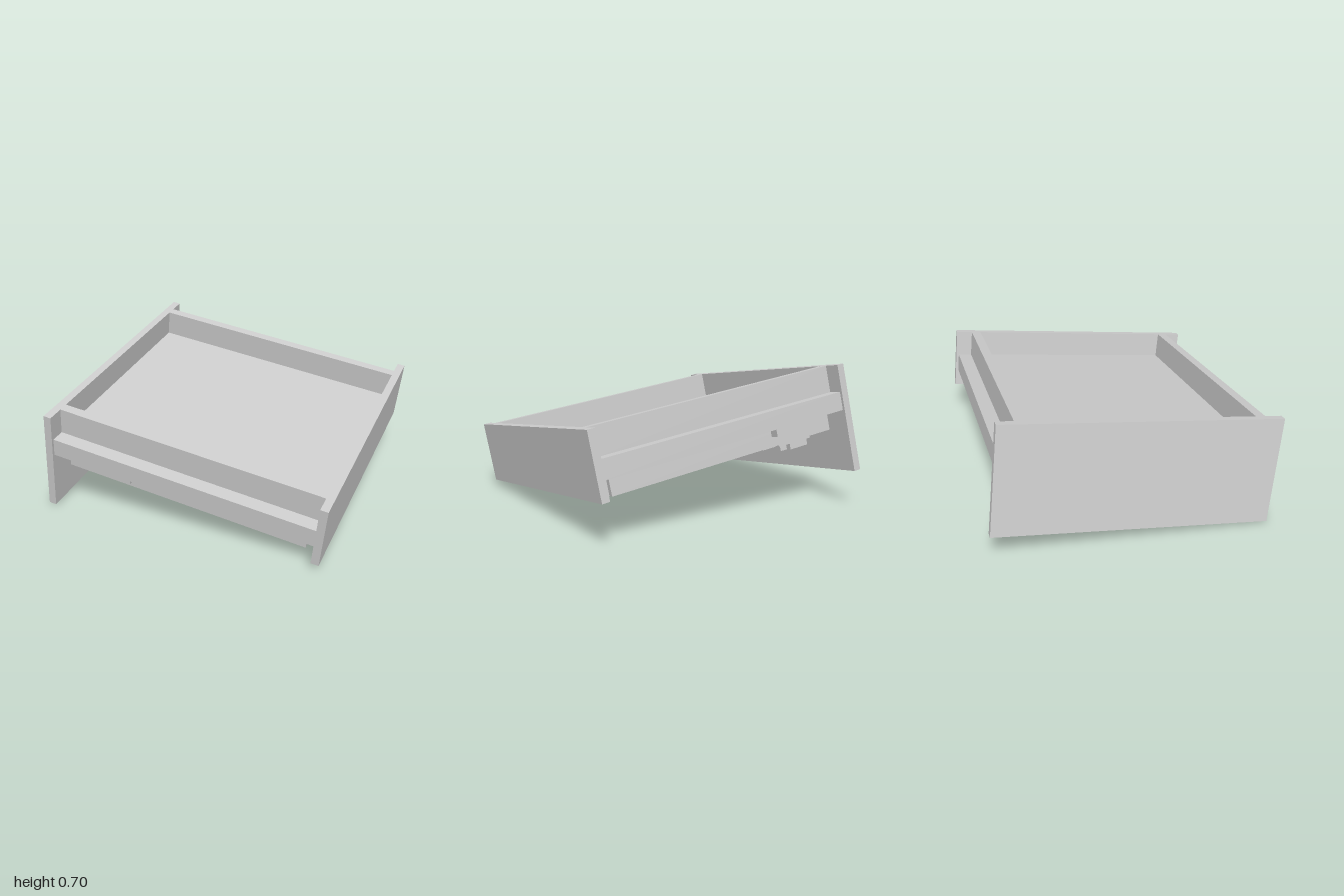
import * as THREE from 'three';

const material = new THREE.MeshStandardMaterial({ color: 0xcccccc, flatShading: true });

// Box given by its limits along each local axis
function box(parent, name, [x0, x1], [y0, y1], [z0, z1]) {
  const mesh = new THREE.Mesh(new THREE.BoxGeometry(x1 - x0, y1 - y0, z1 - z0), material);
  mesh.position.set((x0 + x1) / 2, (y0 + y1) / 2, (z0 + z1) / 2);
  mesh.name = name;
  parent.add(mesh);
}

export function createModel() {
  const model = new THREE.Group();
  model.name = 'tray';

  // Whole tray is turned about the vertical, then tipped about x
  const tray = new THREE.Group();
  tray.name = 'tiltedTray';
  tray.rotation.set(0.194, THREE.MathUtils.degToRad(43.8), 0);
  tray.position.set(0, 0.008, -0.041);
  model.add(tray);

  const W = 0.665, D = 0.6975, inner = 0.66, top = 0.517;

  // End panels: the rear one hangs lower
  box(tray, 'frontPanel', [-W, W], [0.206, top], [inner, D]);
  box(tray, 'backPanel', [-W, W], [-0.012, top], [-D, -inner]);

  // Floor slab, whose edges form the side ledges
  box(tray, 'floor', [-0.652, 0.652], [0.295, 0.385], [-inner, inner]);

  // Side walls and small side catches
  for (const s of [-1, 1]) {
    const span = (a, b) => (s > 0 ? [a, b] : [-b, -a]);
    box(tray, 'sideWall', span(0.535, 0.583), [0.385, top], [-inner, inner]);
    box(tray, 'sideCatch', span(0.585, 0.63), [0.255, 0.295], [-0.41, -0.26]);
  }

  // Base with narrower front end
  box(tray, 'base', [-0.585, 0.585], [0.206, 0.295], [-0.615, 0.61]);
  box(tray, 'baseFrontEnd', [-0.56, 0.56], [0.206, 0.295], [0.61, inner]);

  // Two stepped feet under the rear of the base
  for (const x of [0.26, -0.19]) {
    const foot = new THREE.Group();
    foot.name = 'steppedFoot';
    foot.position.x = x;
    tray.add(foot);
    box(foot, 'upperStep', [-0.185, 0.185], [0.165, 0.206], [-0.6, -0.4]);
    box(foot, 'upperStepMiddle', [-0.155, 0.155], [0.165, 0.206], [-0.4, -0.32]);
    box(foot, 'upperStepNose', [-0.125, 0.125], [0.165, 0.206], [-0.32, -0.28]);
    box(foot, 'lowerStep', [-0.155, 0.155], [0.128, 0.165], [-0.6, -0.49]);
    box(foot, 'lowerStepNose', [-0.125, 0.125], [0.128, 0.165], [-0.49, -0.45]);
  }

  return model;
}
